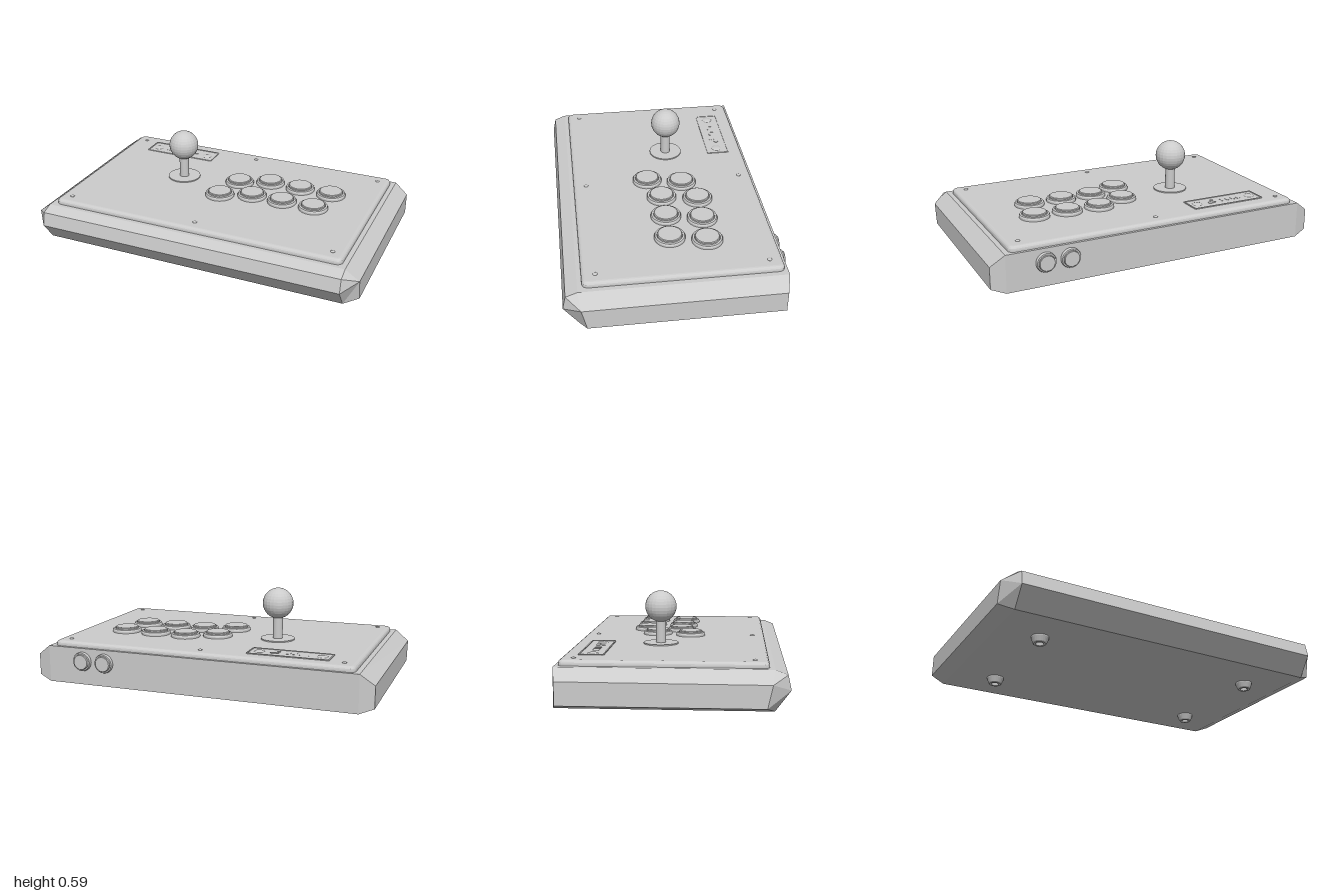
import * as THREE from 'three';

const grey = new THREE.MeshStandardMaterial({ color: 0xcccccc });
const flat = new THREE.MeshStandardMaterial({ color: 0xcccccc, flatShading: true });
const TOP = 0.285; // height of the top panel surface

function add(parent, name, geometry, x = 0, y = 0, z = 0, material = flat) {
  const mesh = new THREE.Mesh(geometry, material);
  mesh.name = name;
  mesh.position.set(x, y, z);
  parent.add(mesh);
  return mesh;
}

function roundedRect(w, h, r, PathType = THREE.Shape) {
  const p = new PathType(), x = w / 2, y = h / 2;
  p.moveTo(-x + r, -y);
  p.lineTo(x - r, -y);
  p.quadraticCurveTo(x, -y, x, -y + r);
  p.lineTo(x, y - r);
  p.quadraticCurveTo(x, y, x - r, y);
  p.lineTo(-x + r, y);
  p.quadraticCurveTo(-x, y, -x, y - r);
  p.lineTo(-x, -y + r);
  p.quadraticCurveTo(-x, -y, -x + r, -y);
  return p;
}

// Lathe from [radius, height] pairs, listed bottom to top
const lathe = (pts, n = 32) =>
  new THREE.LatheGeometry(pts.map(([r, y]) => new THREE.Vector2(r, y)), n);

// Faceted shell lofted across x from (z, y) cross-sections
function bodyGeometry() {
  const mid = [[-0.595, 0.04], [0.54, 0.04], [0.622, 0.15], [0.605, 0.23], [0.54, 0.255], [-0.595, 0.255]];
  const end = [[-0.575, 0.07], [0.5, 0.07], [0.527, 0.192], [0.527, 0.192], [0.527, 0.192], [-0.575, 0.195]];
  const sections = [[-1, end], [-0.92, mid], [0.92, mid], [1, end]];
  const n = mid.length, pos = [], index = [];
  for (const [x, ring] of sections) for (const [z, y] of ring) pos.push(x, y, z);
  for (let s = 0; s < 3; s++) {
    for (let i = 0; i < n; i++) {
      const a = s * n + i, b = s * n + (i + 1) % n;
      index.push(a, a + n, b + n, a, b + n, b);
    }
  }
  const r = 3 * n;
  index.push(0, 1, 2, 0, 2, 5, r, r + 2, r + 1, r, r + 5, r + 2);
  const g = new THREE.BufferGeometry();
  g.setAttribute('position', new THREE.Float32BufferAttribute(pos, 3));
  g.setIndex(index);
  const out = g.toNonIndexed();
  out.computeVertexNormals();
  return out;
}

function pushButton(name, r, h) {
  const g = new THREE.Group();
  g.name = name;
  add(g, 'buttonRim', lathe([[r, 0], [r, h * 0.35], [r * 0.95, h * 0.62], [r * 0.83, h * 0.68], [r * 0.8, h * 0.5]]));
  add(g, 'buttonPlunger', lathe([[r * 0.8, h * 0.4], [r * 0.8, h * 0.88], [r * 0.75, h], [0, h]]));
  return g;
}

export function createModel() {
  const model = new THREE.Group();
  model.name = 'arcadeController';

  add(model, 'body', bodyGeometry());

  // Raised top panel with a rounded upper edge
  const panel = new THREE.ExtrudeGeometry(roundedRect(1.74, 1.05, 0.015), {
    depth: 0.02, bevelThickness: 0.02, bevelSize: 0.022, bevelSegments: 4, curveSegments: 4,
  });
  panel.rotateX(-Math.PI / 2);
  add(model, 'topPanel', panel, 0, TOP - 0.04, -0.032);

  // Panel screws
  const screw = new THREE.SphereGeometry(0.013, 12, 4, 0, Math.PI * 2, 0, Math.PI / 2).scale(1, 0.5, 1);
  for (const x of [-0.82, 0, 0.82])
    for (const z of [-0.505, 0.44]) add(model, 'panelScrew', screw, x, TOP, z, grey);

  // Small control plate: thin frame, knobs, indicators and slots
  const plate = new THREE.Group();
  plate.name = 'controlPlate';
  plate.position.set(-0.5, TOP, -0.428);
  model.add(plate);
  const rim = roundedRect(0.47, 0.14, 0.01);
  rim.holes.push(roundedRect(0.455, 0.125, 0.008, THREE.Path));
  const frame = new THREE.ExtrudeGeometry(rim, { depth: 0.005, bevelEnabled: false, curveSegments: 4 });
  add(plate, 'plateFrame', frame.rotateX(-Math.PI / 2));
  add(plate, 'plateBase', new THREE.BoxGeometry(0.456, 0.002, 0.126), 0, 0.001);
  for (const x of [-0.182, 0.178])
    add(plate, 'plateKnob', lathe([[0.031, 0], [0.029, 0.004], [0.018, 0.007], [0, 0.008]], 24), x, 0, 0.003, grey);
  const indicator = new THREE.CylinderGeometry(0.01, 0.01, 0.005, 16);
  add(plate, 'indicator', indicator, 0.07, 0.0025, -0.01);
  add(plate, 'indicator', indicator, 0.07, 0.0025, 0.022);
  add(plate, 'modeButton', new THREE.CylinderGeometry(0.014, 0.014, 0.005, 20).scale(1.4, 1, 1), 0.092, 0.0025, -0.01);
  for (let i = 0; i < 4; i++)
    add(plate, 'plateSlot', new THREE.BoxGeometry(0.02, 0.003, 0.036), -0.1 + i * 0.036, 0.002, 0.003);

  // Joystick
  const stick = new THREE.Group();
  stick.name = 'joystick';
  stick.position.set(-0.325, TOP, -0.09);
  model.add(stick);
  add(stick, 'dustWasher', new THREE.CylinderGeometry(0.1, 0.1, 0.007, 36), 0, 0.0035);
  add(stick, 'shaft', new THREE.CylinderGeometry(0.029, 0.029, 0.16, 24), 0, 0.08, 0, grey);
  add(stick, 'ballTop', new THREE.SphereGeometry(0.09, 24, 16), 0, 0.215);

  // Main buttons in two curved rows
  const spots = [[0.035, -0.14], [0.215, -0.21], [0.412, -0.205], [0.61, -0.2],
    [-0.01, 0.065], [0.175, 0], [0.367, 0], [0.565, 0.005]];
  for (const [x, z] of spots) {
    const b = pushButton('mainButton', 0.088, 0.032);
    b.position.set(x, TOP, z);
    model.add(b);
  }

  // Back buttons
  for (const x of [0.56, 0.7]) {
    const b = pushButton('backButton', 0.056, 0.028);
    b.position.set(x, 0.178, -0.595);
    b.rotation.x = -Math.PI / 2;
    model.add(b);
  }

  // Feet with a recessed screw hole
  const foot = lathe([[0, 0.026], [0.02, 0.026], [0.022, 0], [0.034, 0], [0.039, 0.006], [0.049, 0.034], [0.049, 0.042]], 24);
  for (const x of [-0.675, 0.675])
    for (const z of [0.3, -0.355]) add(model, 'foot', foot, x, 0, z);

  return model;
}
